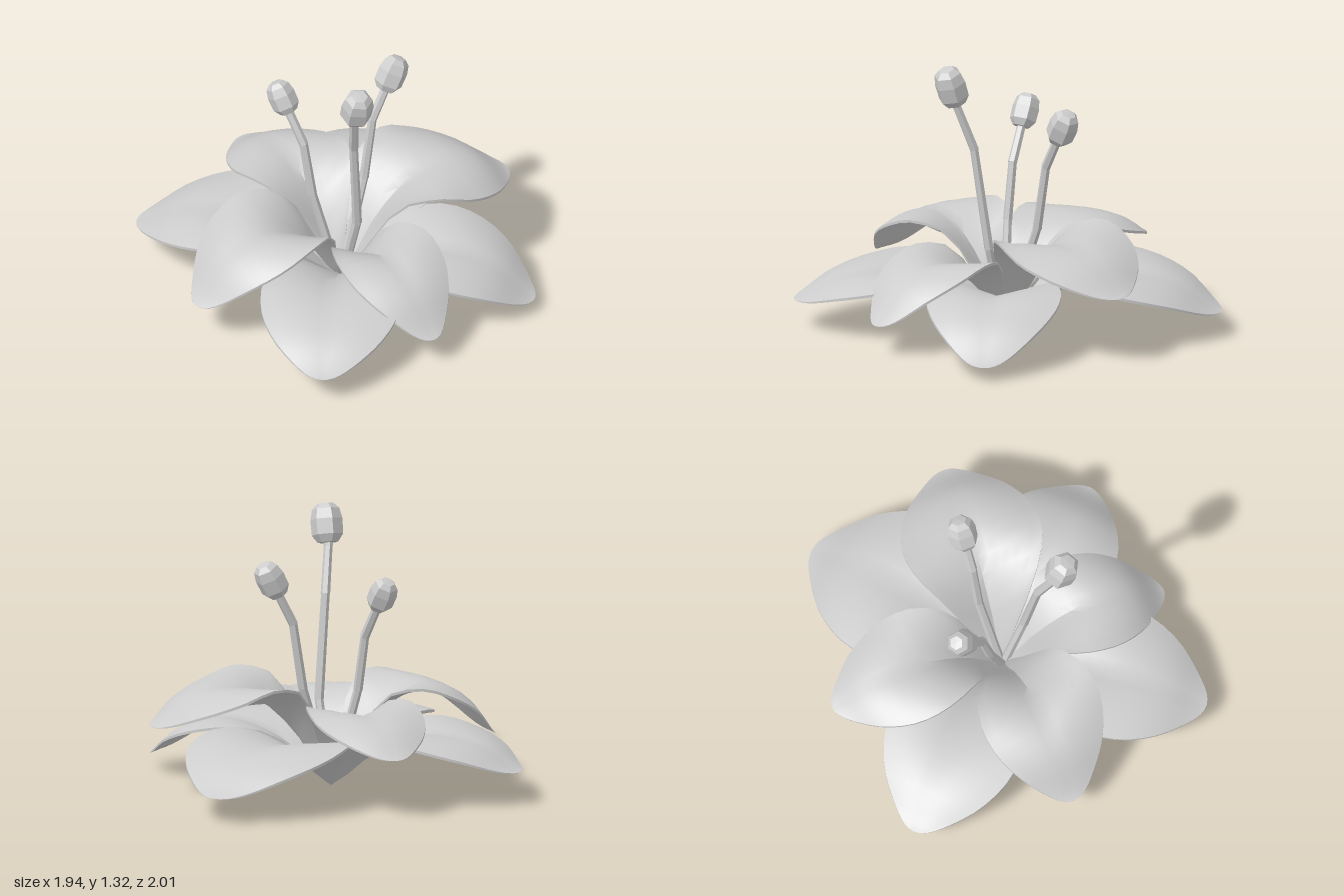
import * as THREE from 'three';
import { toCreasedNormals } from 'three/addons/utils/BufferGeometryUtils.js';

const grey = new THREE.MeshStandardMaterial({ color: 0xcccccc });
grey.name = 'pale grey';

// smooth function through evenly spaced values over 0..1
function profile(values) {
  const n = values.length - 1;
  const curve = new THREE.SplineCurve(values.map((v, i) => new THREE.Vector2(i / n, v)));
  return (u) => curve.getPoint(u).y;
}

const widthAt = profile([0.04, 0.64, 0.97, 1.03, 0.88, 0.56]);
const liftAt = profile([0, 0.34, 0.17, -0.04, -0.1, 0]);
const BASE = new THREE.Vector3(0.02, 0.022, 0.05);

// thin closed shell: cupped at the base, grooved along the midrib, drooping at the tip
function petal(name, [tx, ty, tz], halfWidth, peak) {
  const rows = 18, cols = 12, thick = 0.022;
  const dx = tx - BASE.x, dz = tz - BASE.z, length = Math.hypot(dx, dz);
  const ex = dz / length, ez = -dx / length;
  const ring = (cols + 1) * 2;
  const tip = ty - BASE.y;
  const midAt = profile([0, 0.53 * peak, 0.86 * peak, 0.96 * peak, tip + 0.69 * (peak - tip), tip]);
  const pos = [], index = [];
  for (let i = 0; i <= rows; i++) {
    const u = Math.sin((i / rows) * Math.PI / 2);
    const w = halfWidth * widthAt(u) * Math.sqrt(Math.max(0, 1 - u ** 6));
    const bulge = 0.07 * Math.sin(Math.PI * u);
    for (let j = 0; j < ring; j++) {
      const top = j <= cols;
      const s = ((top ? j : ring - 1 - j) / cols) * 2 - 1;
      const a = Math.abs(s);
      const depth = top ? 0 : thick * (1 - 0.4 * s * s) * (1 - u ** 12);
      const y = midAt(u) + liftAt(u) * peak * a ** 1.2 + bulge * a * (1 - a) - depth;
      pos.push(BASE.x + dx * u + ex * s * w, BASE.y + y, BASE.z + dz * u + ez * s * w);
    }
  }
  for (let i = 0; i < rows; i++) {
    for (let j = 0; j < ring; j++) {
      const a = i * ring + j, c = i * ring + (j + 1) % ring;
      index.push(a, a + ring, c);
      if (i < rows - 1) index.push(c, a + ring, c + ring);
    }
  }
  const geo = new THREE.BufferGeometry();
  geo.setAttribute('position', new THREE.Float32BufferAttribute(pos, 3));
  geo.setIndex(index);
  const mesh = new THREE.Mesh(toCreasedNormals(geo, 0.7), grey);
  mesh.name = name;
  return mesh;
}

function faceted(geo) {
  const flat = geo.toNonIndexed();
  flat.computeVertexNormals();
  return flat;
}

// place a y-aligned mesh at a point, pointing along a direction
function aim(mesh, at, dir) {
  mesh.position.copy(at);
  mesh.quaternion.setFromUnitVectors(new THREE.Vector3(0, 1, 0), dir.clone().normalize());
  return mesh;
}

// bent stalk of six-sided segments with a faceted anther on the end
function stamen(name, points, size) {
  const group = new THREE.Group();
  group.name = name;
  const p = points.map((a) => new THREE.Vector3(...a));
  for (let i = 0; i < p.length - 1; i++) {
    const dir = p[i + 1].clone().sub(p[i]);
    const seg = new THREE.Mesh(
      faceted(new THREE.CylinderGeometry(0.021, 0.023, dir.length() + 0.008, 6)), grey);
    seg.name = 'filament';
    group.add(aim(seg, p[i].clone().add(p[i + 1]).multiplyScalar(0.5), dir));
  }
  const outline = [[0, -0.095], [0.05, -0.092], [0.076, -0.055], [0.078, 0.02], [0.066, 0.07], [0.04, 0.095], [0, 0.098]]
    .map(([r, y]) => new THREE.Vector2(r * size, y * size));
  const anther = new THREE.Mesh(faceted(new THREE.LatheGeometry(outline, 6)), grey);
  anther.name = 'anther';
  const end = p[p.length - 1];
  group.add(aim(anther, end, end.clone().sub(p[p.length - 2])));
  return group;
}

export function createModel() {
  const flower = new THREE.Group();
  flower.name = 'flower';

  // upper ring of petals: name, tip, half width, arch height
  const upper = [
    ['upperPetalBackLeft', [0.55, 0.34, -0.68], 0.33, 0.51],
    ['upperPetalBackRight', [-0.73, 0.29, -0.41], 0.27, 0.43],
    ['upperPetalFrontRight', [-0.40, 0.19, 0.785], 0.29, 0.46],
    ['upperPetalFrontLeft', [0.73, 0.155, 0.49], 0.25, 0.38],
  ];
  // lower, longer ring
  const lower = [
    ['lowerPetalFront', [0.38, 0.145, 1.0], 0.33, 0.265],
    ['lowerPetalLeft', [0.97, 0.07, -0.12], 0.315, 0.27],
    ['lowerPetalBack', [-0.08, 0.12, -1.0], 0.385, 0.28],
    ['lowerPetalRight', [-0.97, 0.155, 0.25], 0.325, 0.29],
  ];
  for (const args of [...upper, ...lower]) flower.add(petal(...args));

  // stamens
  flower.add(
    stamen('stamenRight', [[0, 0.05, 0.06], [-0.12, 0.48, 0.08], [-0.17, 0.75, 0.07], [-0.295, 0.97, 0.045]], 0.86),
    stamen('stamenBack', [[0.02, 0.05, 0.03], [0.06, 0.5, -0.12], [0.08, 0.82, -0.17], [0.135, 1.04, -0.27]], 0.92),
    stamen('stamenLeft', [[0.04, 0.05, 0.06], [0.13, 0.4, 0.1], [0.145, 0.9, 0.17], [0.185, 1.12, 0.245], [0.21, 1.22, 0.265]], 1),
  );
  return flower;
}
